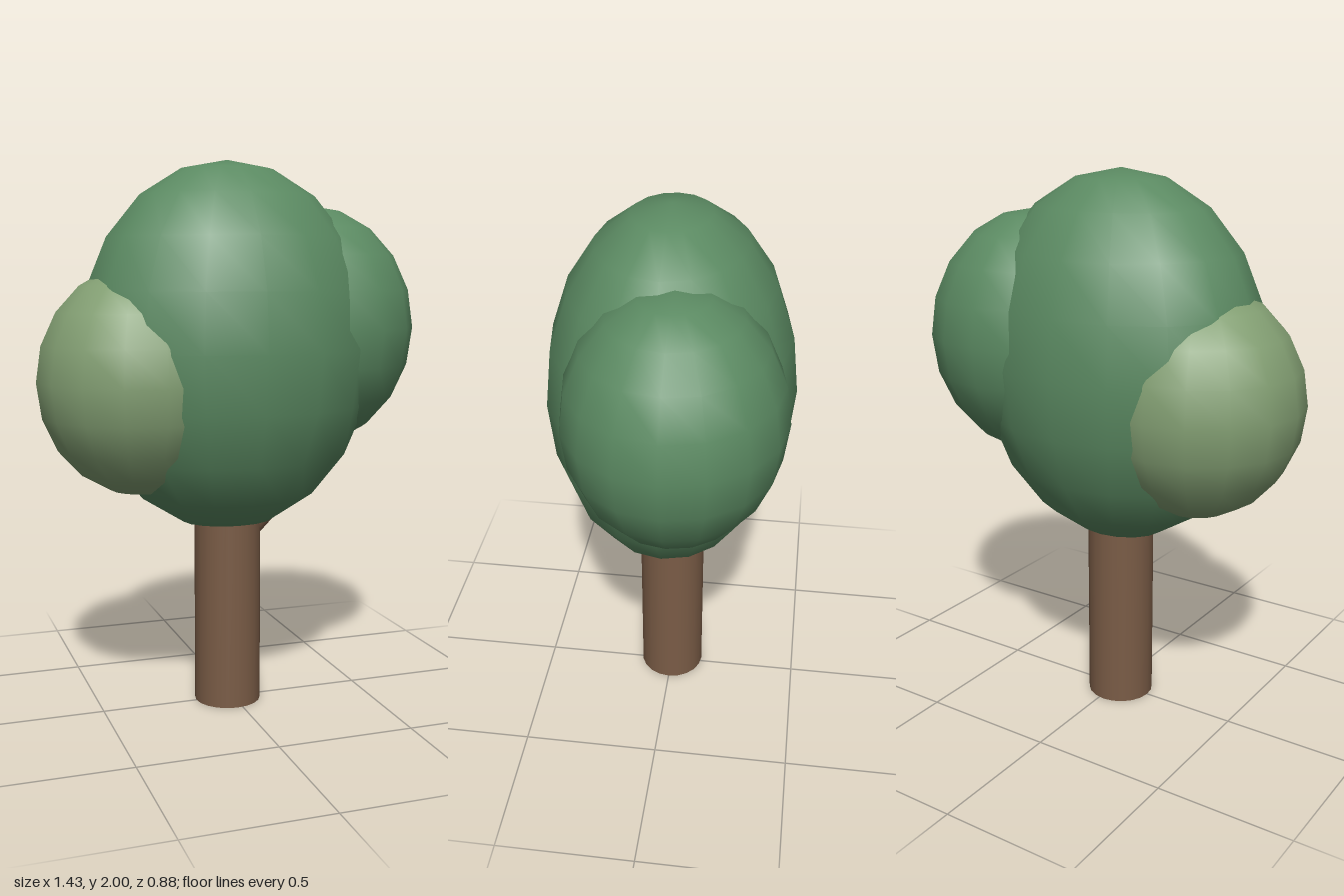
import * as THREE from 'three';

export function createModel() {
  const tree = new THREE.Group();
  tree.name = 'tree';

  const bark = new THREE.MeshStandardMaterial({ color: 0x7a5c46 });
  const darkLeaf = new THREE.MeshStandardMaterial({ color: 0x5b8a62 });
  const lightLeaf = new THREE.MeshStandardMaterial({ color: 0x829e72 });

  // Round limb running between two points
  function limb(name, from, to, radius, sides) {
    const a = new THREE.Vector3(...from);
    const b = new THREE.Vector3(...to);
    const dir = b.clone().sub(a);
    const mesh = new THREE.Mesh(new THREE.CylinderGeometry(radius, radius, dir.length(), sides), bark);
    mesh.name = name;
    mesh.position.copy(a).add(b).multiplyScalar(0.5);
    mesh.quaternion.setFromUnitVectors(new THREE.Vector3(0, 1, 0), dir.normalize());
    tree.add(mesh);
  }

  // Smooth ellipsoid clump of leaves
  function foliage(name, center, radii, material) {
    const geometry = new THREE.SphereGeometry(1, 16, 10);
    geometry.scale(...radii);
    const mesh = new THREE.Mesh(geometry, material);
    mesh.name = name;
    mesh.position.set(...center);
    tree.add(mesh);
  }

  // Trunk and the side branch that carries the left clump
  limb('trunk', [-0.02, 0, 0], [-0.02, 0.95, 0], 0.123, 20);
  limb('branch', [0, 0.615, 0], [0.26, 0.875, 0], 0.06, 12);

  // Crown with a clump on either side
  foliage('crown', [-0.02, 1.33, 0], [0.55, 0.67, 0.44], darkLeaf);
  foliage('leftFoliage', [0.313, 1.4, -0.05], [0.4, 0.45, 0.38], darkLeaf);
  foliage('rightFoliage', [-0.34, 1.22, 0], [0.38, 0.415, 0.37], lightLeaf);

  return tree;
}
